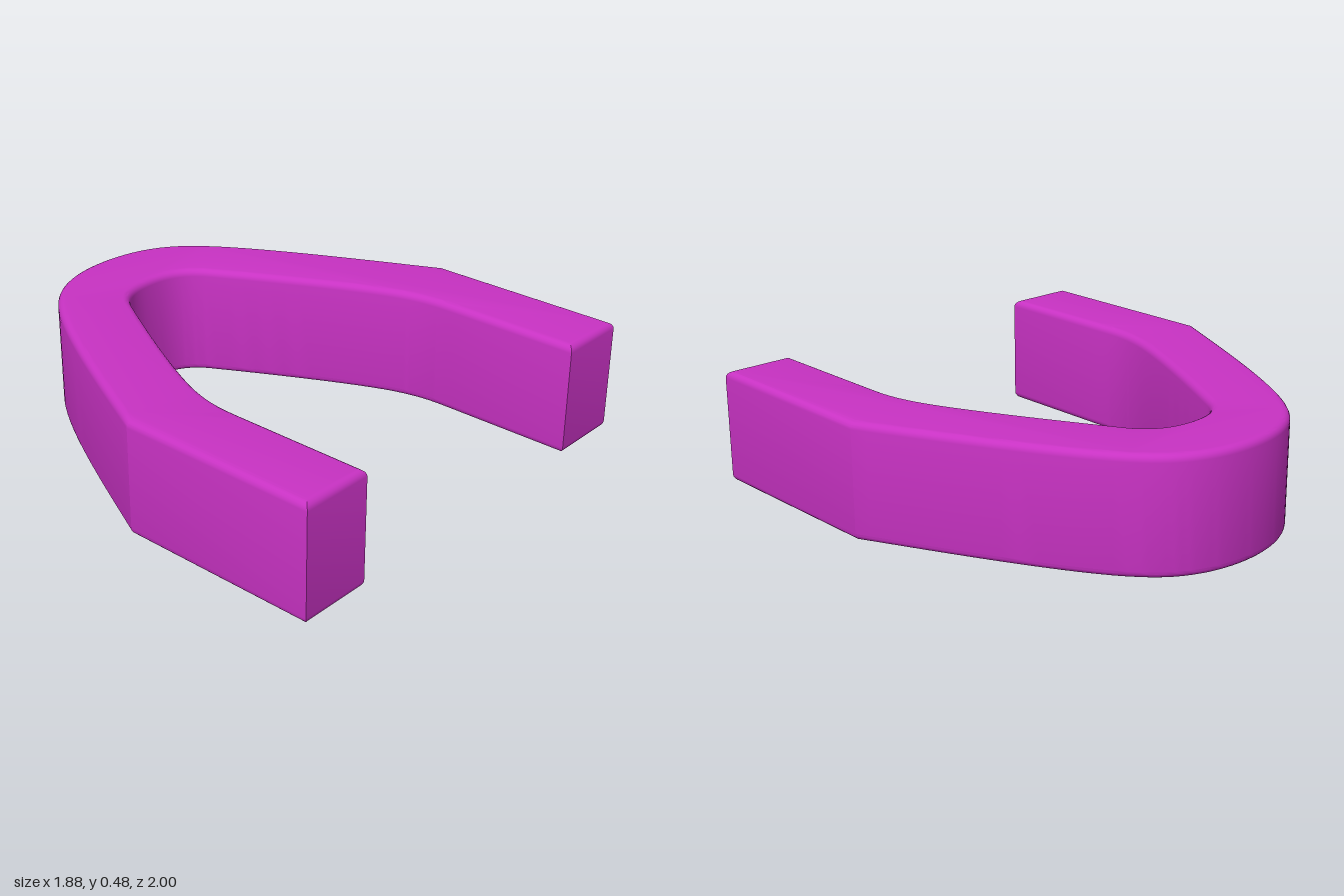
import * as THREE from 'three';
import { toCreasedNormals } from 'three/addons/utils/BufferGeometryUtils.js';

const HEIGHT = 0.48, BEVEL = 0.03;

export function createModel() {
  const group = new THREE.Group();
  group.name = 'archBlock';

  // Right half of the plan as Bezier segments [control, control, end] in (x, z)
  const outerStart = [0.94, 0.15];
  const outer = [
    [[0.8, -0.14], [0.56, -0.66], [0.4, -0.83]],
    [[0.29, -0.96], [0.14, -1], [0, -1]],
  ];
  const innerStart = [0.63, 0.45];
  const inner = [
    [[0.63, 0.35], [0.63, 0.29], [0.6, 0.19]],
    [[0.56, 0.04], [0.35, -0.35], [0.22, -0.58]],
    [[0.17, -0.66], [0.1, -0.69], [0, -0.69]],
  ];

  const shape = new THREE.Shape();
  const curve = (a, b, c, s) =>
    shape.bezierCurveTo(s * a[0], -a[1], s * b[0], -b[1], s * c[0], -c[1]);
  // Follow a half profile towards the middle, then mirrored back out
  const arch = (start, segments, side) => {
    segments.forEach(([a, b, c]) => curve(a, b, c, side));
    for (let i = segments.length - 1; i >= 0; i--) {
      const end = i > 0 ? segments[i - 1][2] : start;
      curve(segments[i][1], segments[i][0], end, -side);
    }
  };

  shape.moveTo(0.94, -1);
  shape.lineTo(outerStart[0], -outerStart[1]);
  arch(outerStart, outer, 1);
  shape.lineTo(-0.94, -1);
  shape.lineTo(-0.63, -1);
  shape.lineTo(-innerStart[0], -innerStart[1]);
  arch(innerStart, inner, -1);
  shape.lineTo(0.63, -1);
  shape.closePath();

  // Extruded body with rounded top and bottom edges
  const geometry = new THREE.ExtrudeGeometry(shape, {
    depth: HEIGHT - 2 * BEVEL,
    bevelSize: BEVEL,
    bevelThickness: BEVEL,
    bevelOffset: -BEVEL,
    bevelSegments: 5,
    curveSegments: 16,
  });
  geometry.rotateX(-Math.PI / 2);
  geometry.translate(0, BEVEL, 0);

  const body = new THREE.Mesh(
    toCreasedNormals(geometry, 0.44),
    new THREE.MeshStandardMaterial({ color: 0xc832c3 })
  );
  body.name = 'curvedBody';
  group.add(body);
  return group;
}
